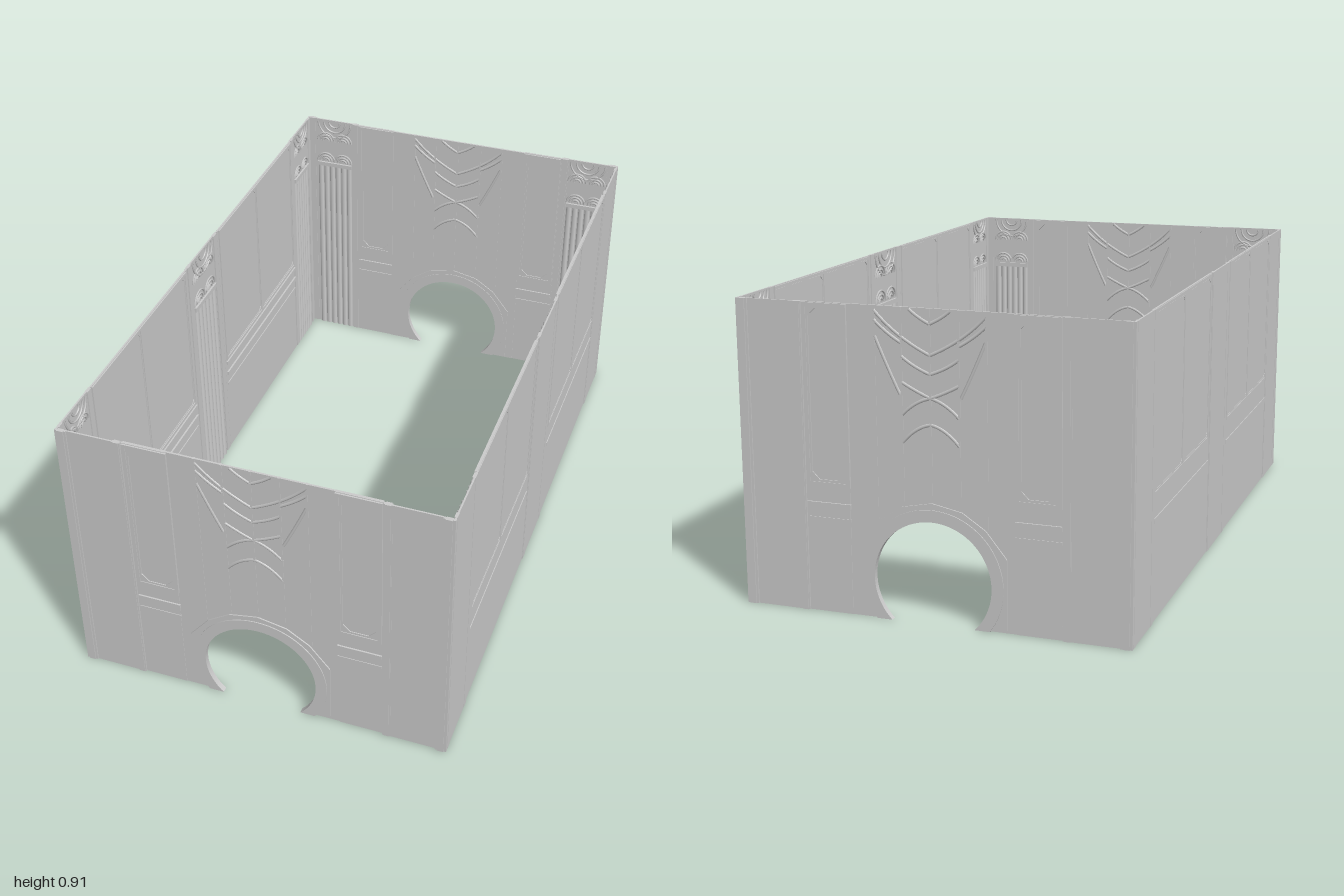
import * as THREE from 'three';

const H = 0.905, HX = 0.585, HZ = 1;
const mat = new THREE.MeshStandardMaterial({ color: 0xcccccc, side: THREE.DoubleSide });
const flat = new THREE.MeshStandardMaterial({ color: 0xcccccc, side: THREE.DoubleSide, flatShading: true });

function add(parent, name, geometry, material = flat) {
  const mesh = new THREE.Mesh(geometry, material);
  mesh.name = name;
  parent.add(mesh);
  return mesh;
}

// Box given by its limits; local +z is the outside of a wall
function slab(parent, name, x0, x1, y0, y1, z0, z1) {
  const m = add(parent, name, new THREE.BoxGeometry(Math.abs(x1 - x0), y1 - y0, z1 - z0));
  m.position.set((x0 + x1) / 2, (y0 + y1) / 2, (z0 + z1) / 2);
  return m;
}

function plate(parent, name, shape, z0, z1) {
  const g = new THREE.ExtrudeGeometry(shape, { depth: z1 - z0, bevelEnabled: false, curveSegments: 40 });
  g.translate(0, 0, z0);
  return add(parent, name, g);
}

function rect(path, x0, x1, y0, y1, c = 0) {
  const [a, b] = [Math.min(x0, x1), Math.max(x0, x1)];
  return path.setFromPoints([[a + c, y0], [b - c, y0], [b, y0 + c], [b, y1 - c], [b - c, y1], [a + c, y1], [a, y1 - c], [a, y0 + c]]
    .map(p => new THREE.Vector2(...p)));
}

// Rectangular moulding; the inner corners may be cut off
function frame(parent, name, x0, x1, y0, y1, w, z0, z1, cut = 0) {
  const [a, b] = [Math.min(x0, x1), Math.max(x0, x1)];
  const shape = rect(new THREE.Shape(), a, b, y0, y1);
  shape.holes.push(rect(new THREE.Path(), a + w, b - w, y0 + w, y1 - w, cut));
  plate(parent, name, shape, z0, z1);
}

// Fluted inner pilaster with a capital of nested scroll arches
function pilaster(parent, xc, width, z) {
  const g = new THREE.Group();
  g.name = 'pilaster';
  g.position.set(xc, 0, z);
  parent.add(g);
  const n = 6, step = width / n;
  for (let i = 0; i < n; i++) {
    const reed = add(g, 'reed', new THREE.CylinderGeometry(step * 0.42, step * 0.42, 0.72, 8, 1, true, Math.PI / 2, Math.PI), mat);
    reed.scale.z = 0.6;
    reed.position.set((i - n / 2 + 0.5) * step, 0.36, 0);
  }
  slab(g, 'capitalBand', -width / 2, width / 2, 0.715, 0.73, -0.007, 0);
  for (const [y, flip] of [[0.735, 1], [0.82, 1], [0.9, -1]])
    for (const s of flip > 0 ? [-1, 1] : [0])
      for (const k of [1, 0.66, 0.34]) {
        const r = width * (s ? 0.24 : 0.47) * k;
        const scroll = add(g, 'capitalScroll', new THREE.TorusGeometry(r, 0.0035, 5, 14, Math.PI), mat);
        scroll.position.set(s * width * 0.25, y, -0.002);
        scroll.scale.y = flip;
      }
}

// Centre panel outline, with the round doorway cut through its lower edge
const R = 0.177, CY = 0.125, CUT = Math.PI / 4;
function doorwayEdge(shape, r) {
  const a = Math.asin(CY / r);
  shape.lineTo(-r * Math.cos(a), 0);
  shape.absarc(0, CY, r, Math.PI + a, -a, true);
}

function endWall() {
  const g = new THREE.Group();
  const panel = new THREE.Shape().moveTo(-0.25, 0);
  doorwayEdge(panel, R);
  panel.lineTo(0.25, 0).lineTo(0.25, H).lineTo(-0.25, H).lineTo(-0.25, 0);
  plate(g, 'centrePanel', panel, -0.019, -0.013);

  // Doorway surround: faceted outer band and a smooth inner band
  const outer = new THREE.Shape().moveTo(-0.222, 0.008);
  doorwayEdge(outer, R);
  outer.lineTo(0.222, 0.008).lineTo(0.222, 0.215);
  for (const [x, y] of [[0.16, 0.292], [0.09, 0.338], [0, 0.356], [-0.09, 0.338], [-0.16, 0.292], [-0.222, 0.215]])
    outer.lineTo(x, y);
  plate(g, 'doorwaySurround', outer, -0.022, -0.009);
  const ring = new THREE.Shape().moveTo(-0.17, 0);
  doorwayEdge(ring, R);
  const a = Math.asin(CY / 0.212);
  ring.lineTo(0.212 * Math.cos(a), 0);
  ring.absarc(0, CY, 0.212, -a, Math.PI + a, false);
  plate(g, 'doorwayRing', ring, -0.024, -0.006);

  for (const s of [-1, 1]) {
    // Side panel with framed inset and ledges
    slab(g, 'sidePanel', s * 0.25, s * 0.385, 0, H, -0.017, -0.011);
    frame(g, 'outerFrame', s * 0.247, s * 0.382, 0.376, 0.903, 0.012, -0.022, -0.006);
    frame(g, 'innerFrame', s * 0.257, s * 0.372, 0.387, 0.895, 0.008, -0.02, -0.008, 0.022);
    slab(g, 'ledge', s * 0.247, s * 0.382, 0.314, 0.328, -0.022, -0.006);
    slab(g, 'lowerMoulding', s * 0.247, s * 0.382, 0.275, 0.283, -0.02, -0.009);

    // Pilaster bay and corner strips
    slab(g, 'bayStrip', s * 0.385, s * 0.41, 0, H, -0.015, -0.006);
    slab(g, 'stripBead', s * 0.389, s * 0.406, 0, H, -0.018, -0.004);
    slab(g, 'pilasterBacking', s * 0.41, s * 0.55, 0, H, -0.012, -0.007);
    slab(g, 'cornerStrip', s * 0.55, s * HX, 0, H, -0.011, -0.003);
    slab(g, 'cornerBead', s * 0.557, s * 0.577, 0, H, -0.013, 0);
    pilaster(g, s * 0.48, 0.135, -0.012);

    // Long vertical stems
    for (const [x, y0] of [[0.085, 0.35], [0.165, 0.295]])
      slab(g, 'stem', s * (x - 0.003), s * (x + 0.003), y0, H, -0.0205, -0.0115);

    // Feathered relief strokes: start, control, end
    const strokes = [
      [0, 0.862, 0.035, 0.878, 0.06, 0.9],
      [0, 0.775, 0.1, 0.82, 0.165, 0.892],
      [0, 0.722, 0.05, 0.74, 0.085, 0.768],
      [0.085, 0.805, 0.13, 0.83, 0.165, 0.865],
      [0.09, 0.66, 0.125, 0.73, 0.163, 0.82],
      [0, 0.655, 0.04, 0.67, 0.085, 0.695],
      [0, 0.655, 0.045, 0.645, 0.085, 0.603],
      [0, 0.58, 0.045, 0.572, 0.085, 0.524]];
    for (const [x0, y0, cx, cy, x1, y1] of strokes) {
      const curve = new THREE.QuadraticBezierCurve3(new THREE.Vector3(s * x0, y0, 0),
        new THREE.Vector3(s * cx, cy, 0), new THREE.Vector3(s * x1, y1, 0));
      const f = add(g, 'featherStroke', new THREE.TubeGeometry(curve, 10, 0.0055, 6), mat);
      f.position.z = -0.016;
      f.scale.z = 1.1;
    }
  }
  slab(g, 'centreStem', -0.003, 0.003, 0.356, H, -0.0205, -0.0115);
  return g;
}

function sideWall() {
  const g = new THREE.Group();
  slab(g, 'centrePier', -0.12, 0.12, 0, H, -0.006, -0.001);
  pilaster(g, 0, 0.165, -0.006);
  for (const s of [-1, 1]) {
    slab(g, 'pierBead', s * 0.09, s * 0.115, 0, H, -0.01, 0);
    // Window bay with two tall panes and a dado below
    slab(g, 'bayWall', s * 0.12, s * 0.785, 0, H, -0.008, -0.003);
    for (const [a, b] of [[0.132, 0.462], [0.458, 0.785]]) {
      frame(g, 'windowFrame', s * a, s * b, 0.376, 0.903, 0.009, -0.012, -0.001);
      frame(g, 'windowBead', s * (a + 0.011), s * (b - 0.011), 0.387, 0.893, 0.004, -0.01, -0.002, 0.012);
    }
    for (const [y0, y1, d] of [[0.355, 0.368, 0.013], [0.312, 0.325, 0.014], [0.27, 0.278, 0.011]])
      slab(g, 'dadoMoulding', s * 0.13, s * 0.785, y0, y1, -d, -0.005);
    slab(g, 'dadoLedge', s * 0.13, s * 0.785, 0.295, 0.308, -0.008, -0.0005);
    // Corner pier
    slab(g, 'cornerPier', s * 0.785, s * (HZ - 0.003), 0, H, -0.006, -0.001);
    slab(g, 'pierBead', s * 0.79, s * 0.812, 0, H, -0.01, 0);
    slab(g, 'cornerBead', s * 0.962, s * 0.982, 0, H, -0.009, 0);
    pilaster(g, s * 0.886, 0.135, -0.006);
  }
  return g;
}

export function createModel() {
  const model = new THREE.Group();
  model.name = 'panelledRoom';
  const place = (wall, name, x, z, turn) => {
    wall.name = name;
    wall.position.set(x, 0, z);
    wall.rotation.y = turn;
    model.add(wall);
  };
  place(endWall(), 'frontWall', 0, HZ, 0);
  place(endWall(), 'backWall', 0, -HZ, Math.PI);
  place(sideWall(), 'leftWall', HX, 0, Math.PI / 2);
  place(sideWall(), 'rightWall', -HX, 0, -Math.PI / 2);
  return model;
}
